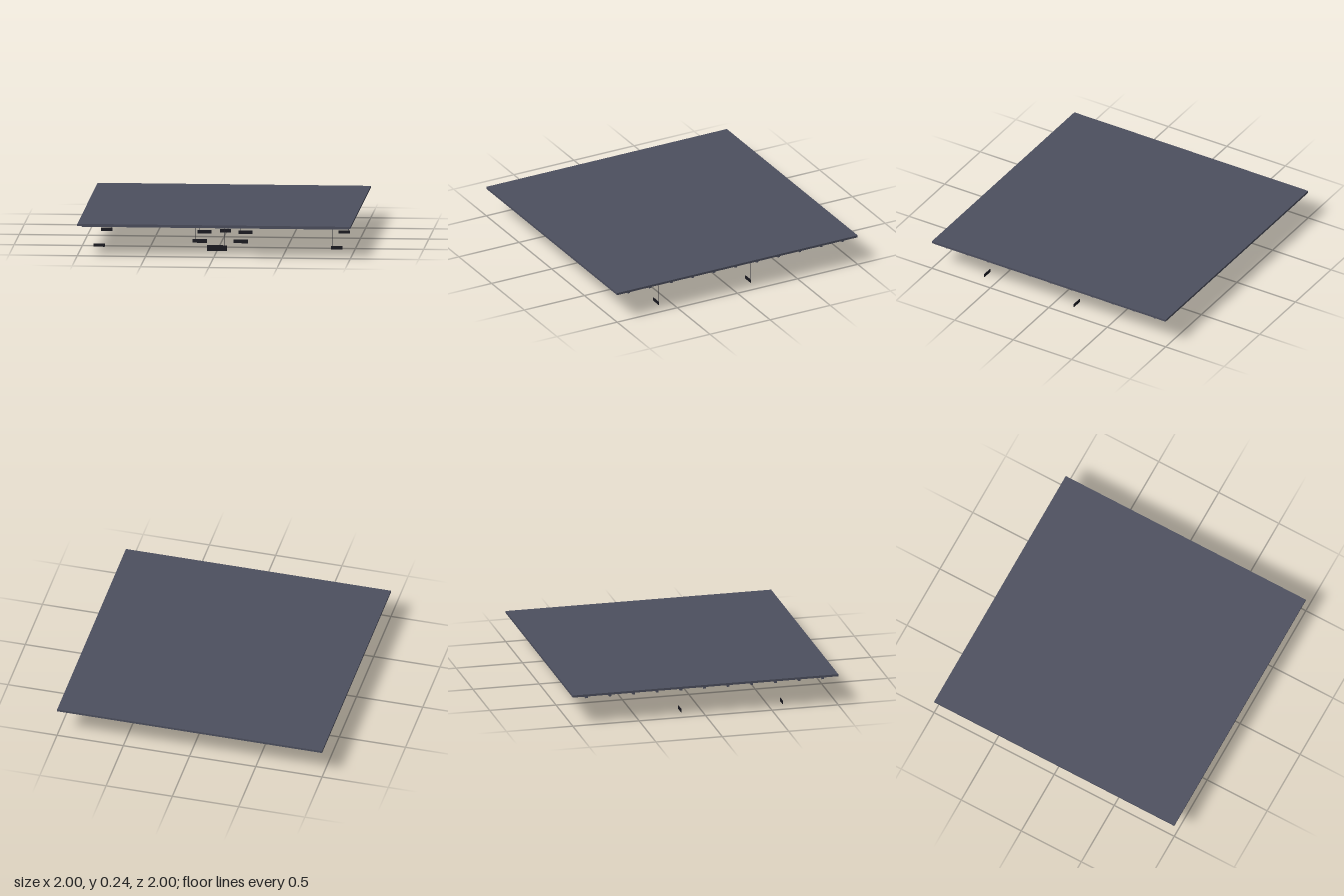
import * as THREE from 'three';

const mat = (name, color) => {
  const m = new THREE.MeshStandardMaterial({ color });
  m.name = name;
  return m;
};

export function createModel() {
  const root = new THREE.Group();
  root.name = 'hangingSignCeiling';
  const slabGrey = mat('slabGrey', 0x4c4f5e);
  const beamGrey = mat('beamGrey', 0x4c4f5e);
  const stripDark = mat('stripDark', 0x32343e);
  const signDark = mat('signDark', 0x18181f);
  const wireGrey = mat('wireGrey', 0x3c3c42);

  const box = (parent, name, material, w, h, d, x, y, z) => {
    const mesh = new THREE.Mesh(new THREE.BoxGeometry(w, h, d), material);
    mesh.name = name;
    mesh.position.set(x, y, z);
    parent.add(mesh);
  };

  // Ceiling slab
  box(root, 'ceilingSlab', slabGrey, 2, 0.016, 2, 0, 0.228, 0);

  // Cross beams running side to side
  for (let i = -5; i <= 5; i++) {
    box(root, 'crossBeam', beamGrey, 1.955, 0.021, 0.018, 0, 0.21, i * 0.178);
  }

  // Rows of short strips below the slab, front to back
  for (const x of [-0.715, -0.55, -0.11, 0.11, 0.55, 0.715]) {
    for (let i = 0; i < 14; i++) {
      box(root, 'ceilingStrip', stripDark, 0.01, 0.007, 0.1, x, 0.217, (i - 6.5) * 0.135);
    }
  }

  // Board on two thin wires
  const sign = (name, x, z, w, h, d, y, wireGap) => {
    const group = new THREE.Group();
    group.name = name;
    group.position.set(x, 0, z);
    box(group, 'signBoard', signDark, w, h, d, 0, y, 0);
    const bottom = y + h / 2;
    for (const s of [-1, 1]) {
      const wire = new THREE.Mesh(
        new THREE.CylinderGeometry(0.0007, 0.0007, 0.22 - bottom, 6), wireGrey);
      wire.name = 'signWire';
      wire.position.set(s * wireGap, (0.22 + bottom) / 2, 0);
      group.add(wire);
    }
    root.add(group);
  };

  sign('mainSign', 0, 0.695, 0.145, 0.042, 0.007, 0.021, 0.057);
  for (const z of [0.635, -0.145]) sign('centreSign', 0, z, 0.08, 0.024, 0.005, 0.022, 0.032);
  for (const s of [-1, 1]) {
    for (const z of [0.36, -0.09, -0.485]) sign('aisleSign', s * 0.15, z, 0.104, 0.026, 0.005, 0.022, 0.034);
    for (const z of [0.605, -0.16]) sign('sideSign', s * 0.87, z, 0.084, 0.024, 0.005, 0.021, 0.032);
  }

  return root;
}
